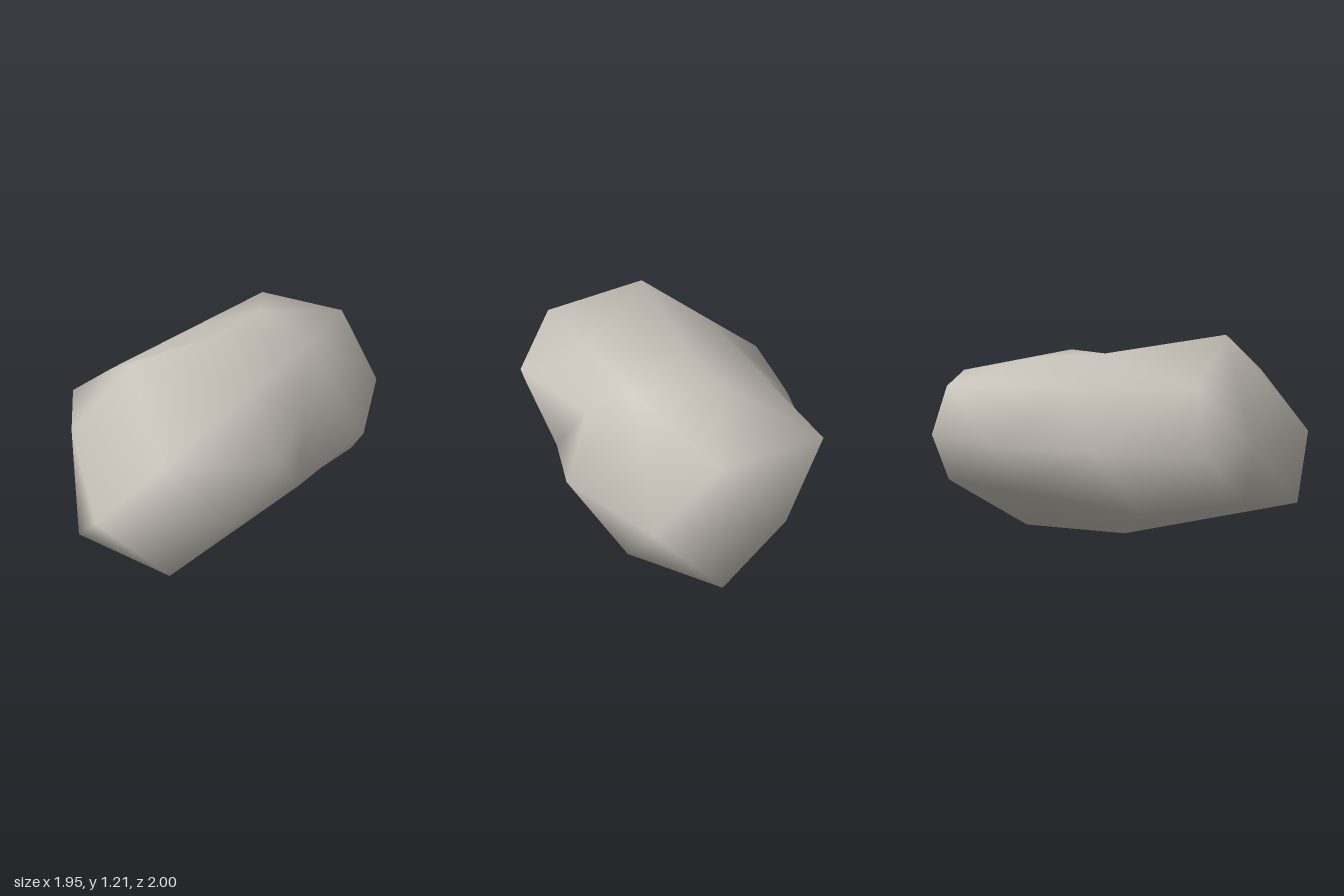
import * as THREE from 'three';
import { mergeVertices } from 'three/addons/utils/BufferGeometryUtils.js';
import { ConvexGeometry } from 'three/addons/geometries/ConvexGeometry.js';

// Corners of the boulder, grouped in rings from the ground to the crown
const base = [
  [-0.23, 0.035, 0.57], [-0.05, 0.0, 0], [0.46, 0.02, -0.37], [0.31, 0.19, 0.25],
];
const lower = [
  [-0.97, 0.35, 0], [-0.88, 0.245, 0.6], [-0.36, 0.31, 1], [0.36, 0.5, 0.54],
  [0.8, 0.25, -0.11], [0.87, 0.29, -0.68], [0.12, 0.35, -0.73], [-0.57, 0.27, -0.34],
];
const middle = [
  [-0.975, 0.625, -0.31], [-0.935, 0.62, 0.11], [-0.72, 0.62, 0.92], [-0.04, 0.62, 0.975],
  [0.77, 0.635, 0.25], [0.97, 0.63, -0.34], [0.62, 0.63, -0.92],
  [-0.04, 0.63, -0.91], [-0.51, 0.63, -0.64],
];
const upper = [
  [-0.68, 0.94, -0.05], [-0.34, 0.98, 0.93], [0.22, 0.89, 0.82], [0.4, 0.83, 0.3],
  [0.76, 0.99, -0.61], [0.28, 0.94, -1], [-0.2, 0.94, -0.525],
];
const crown = [
  [-0.53, 1.21, 0.35], [0.1, 1.045, 0.4], [0.46, 1.11, 0], [0.22, 1.08, -0.45], [-0.03, 1.1, -0.15],
];

// Joins the corners by their directions from the core, which keeps the hollow waist
function boulderGeometry() {
  const core = new THREE.Vector3(0, 0.6, 0);
  const corners = [base, lower, middle, upper, crown].flat().map((p) => new THREE.Vector3(...p));
  const directions = corners.map((p) => p.clone().sub(core).normalize());
  const shell = new ConvexGeometry(directions);
  const position = shell.attributes.position;
  const v = new THREE.Vector3();
  for (let i = 0; i < position.count; i++) {
    v.fromBufferAttribute(position, i);
    let nearest = 0;
    directions.forEach((d, k) => { if (d.dot(v) > directions[nearest].dot(v)) nearest = k; });
    position.setXYZ(i, ...corners[nearest].toArray());
  }
  shell.deleteAttribute('normal');
  const smooth = mergeVertices(shell);
  smooth.computeVertexNormals();
  return smooth;
}

export function createModel() {
  const group = new THREE.Group();
  group.name = 'rock';
  const stone = new THREE.MeshStandardMaterial({ color: 0xc6c1b8 });
  stone.name = 'stone grey';
  const boulder = new THREE.Mesh(boulderGeometry(), stone);
  boulder.name = 'boulder';
  group.add(boulder);
  return group;
}
